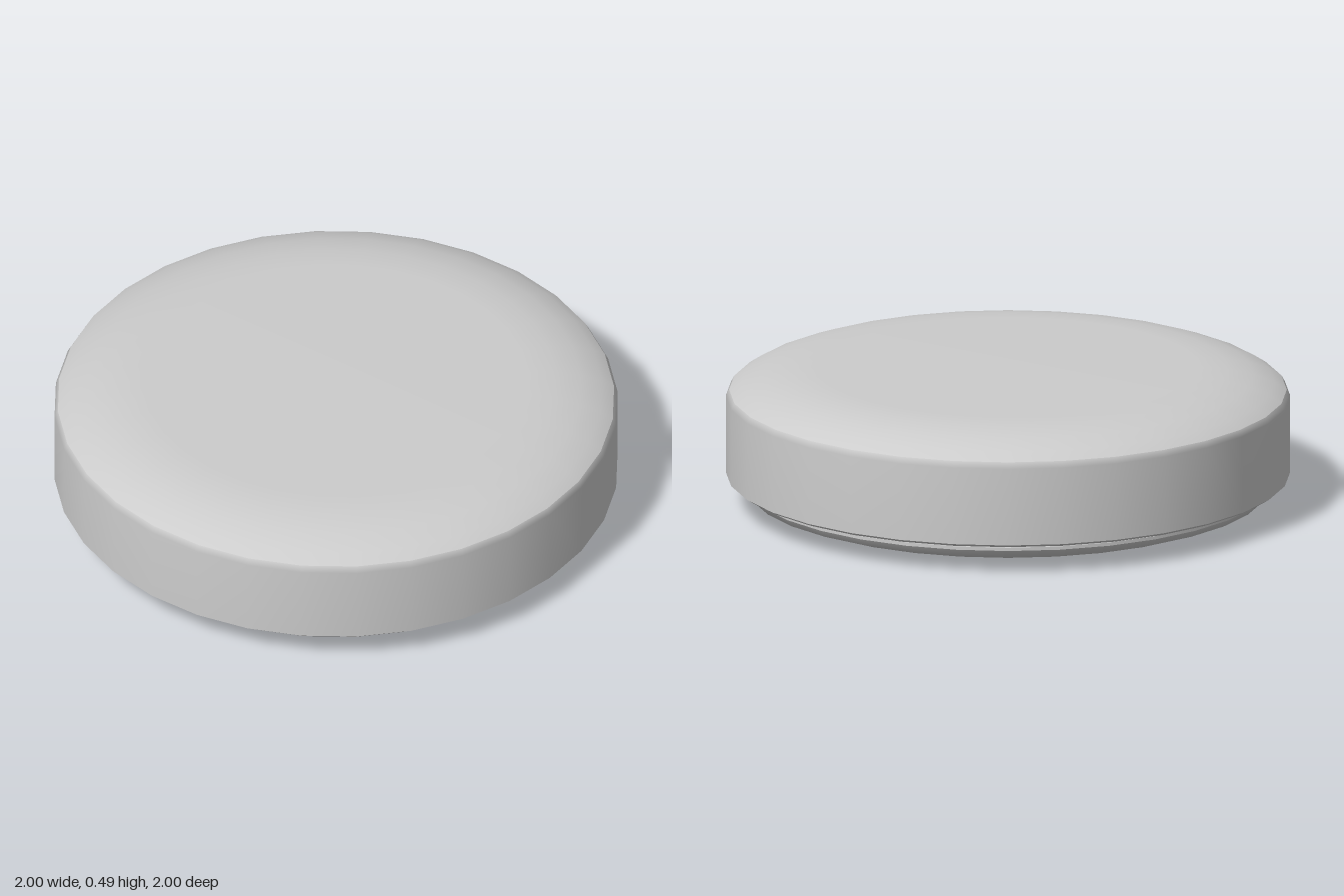
import * as THREE from 'three';

const SIDES = 32;
const material = new THREE.MeshStandardMaterial({ color: 0xcccccc, side: THREE.DoubleSide });

// Each profile run is smooth within itself; separate runs meet in a sharp edge.
function turned(name, runs) {
  const part = new THREE.Group();
  part.name = name;
  runs.forEach((run, i) => {
    const points = run.map(([r, y]) => new THREE.Vector2(r, y));
    const mesh = new THREE.Mesh(new THREE.LatheGeometry(points, SIDES), material);
    mesh.name = `${name}Surface${i + 1}`;
    part.add(mesh);
  });
  return part;
}

export function createModel() {
  const model = new THREE.Group();
  model.name = 'roundPuck';

  // Domed base with a thin flange
  model.add(turned('base', [
    [[0, 0], [0.6, 0.005], [0.76, 0.013], [0.86, 0.027], [0.92, 0.048], [0.938, 0.073]],
    [[0.938, 0.073], [0.938, 0.085]],
    [[0.938, 0.085], [0.905, 0.087]],
  ]));

  // Recessed neck joining base and body
  model.add(turned('neck', [[[0.905, 0.083], [0.905, 0.106]]]));

  // Main body: underside, small chamfer, straight wall, rounded top
  model.add(turned('body', [
    [[0.9, 0.1], [0.985, 0.1]],
    [[0.985, 0.1], [1, 0.11]],
    [[1, 0.11], [1, 0.39], [0.988, 0.412]],
    [[0.988, 0.412], [0.945, 0.44], [0.87, 0.468], [0.78, 0.486], [0.67, 0.494], [0, 0.494]],
  ]));

  return model;
}
